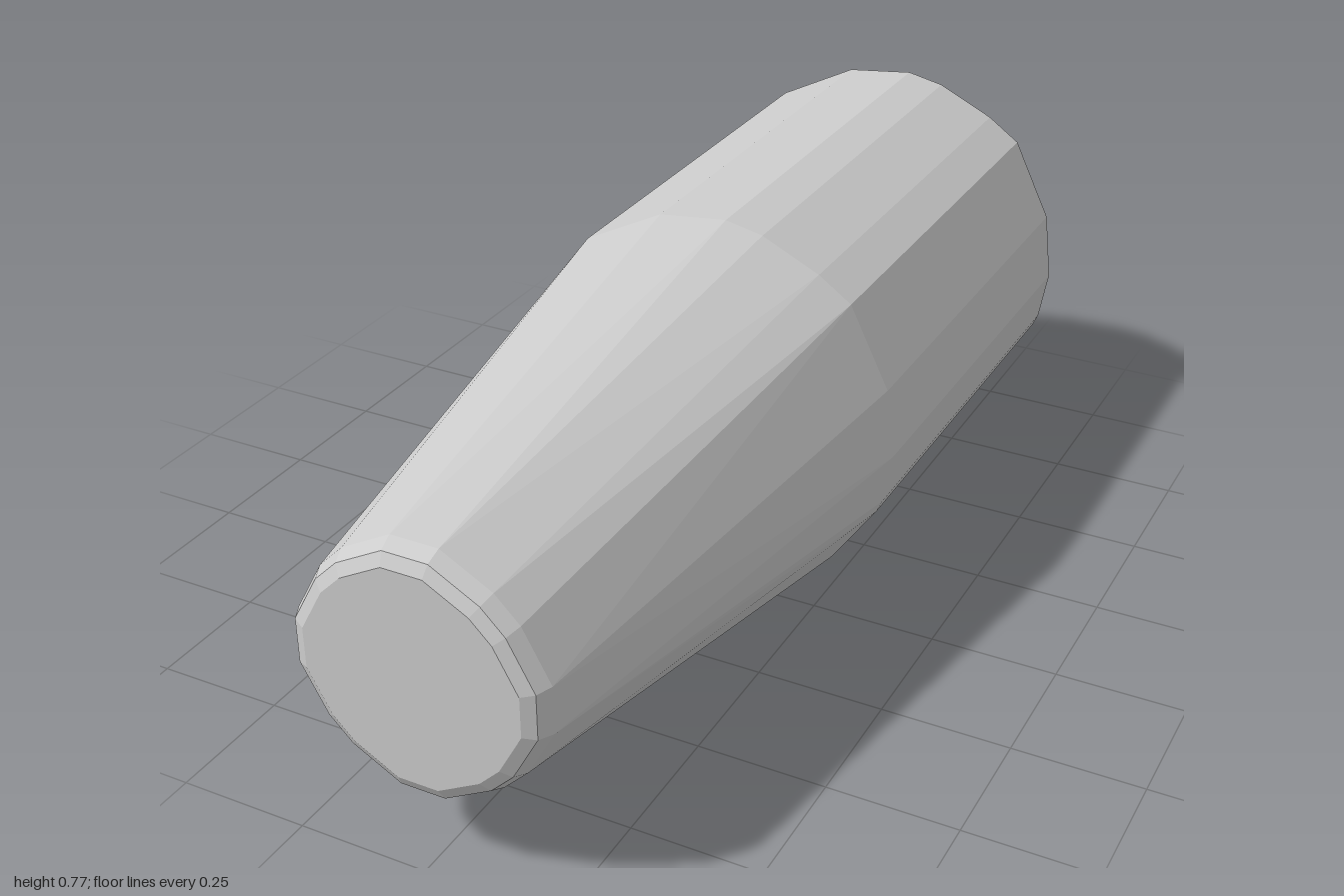
import * as THREE from 'three';
import { ConvexGeometry } from 'three/addons/geometries/ConvexGeometry.js';

const CENTRE_Y = 0.385;

// Completes a half outline by turning it half a revolution
const turnHalf = (pts) => pts.concat(pts.map(([x, y]) => [-x, -y]));

// Irregular faceted section of the thick barrel
const barrel = turnHalf([
  [0.03, 0.385], [0.106, 0.369], [0.222, 0.314], [0.288, 0.268], [0.368, 0.108],
  [0.385, -0.03], [0.368, -0.132], [0.357, -0.158], [0.268, -0.287], [0.108, -0.369],
]);

// Rounded octagonal section of the narrow tip
const tip = turnHalf([
  [-0.045, 0.238], [0.045, 0.238], [0.14, 0.186], [0.186, 0.14], [0.238, 0.045], [0.238, -0.045],
  [0.186, -0.14], [0.14, -0.186],
]);

// Places a scaled section at depth z
const ring = (section, scale, z) =>
  section.map(([x, y]) => new THREE.Vector3(x * scale, CENTRE_Y + y * scale, z));

export function createModel() {
  const group = new THREE.Group();
  group.name = 'taperedHandle';

  // Barrel, taper and both bevelled ends form one convex faceted shell
  const points = [
    ...ring(barrel, 0.81, -1),
    ...ring(barrel, 0.94, -0.975),
    ...ring(barrel, 1, -0.94),
    ...ring(barrel, 1, -0.04),
    ...ring(tip, 1, 0.96),
    ...ring(tip, 0.945, 0.988),
    ...ring(tip, 0.85, 1),
  ];
  const body = new THREE.Mesh(
    new ConvexGeometry(points),
    new THREE.MeshStandardMaterial({ color: 0xcccccc, flatShading: true }),
  );
  body.name = 'handleBody';
  group.add(body);
  return group;
}
